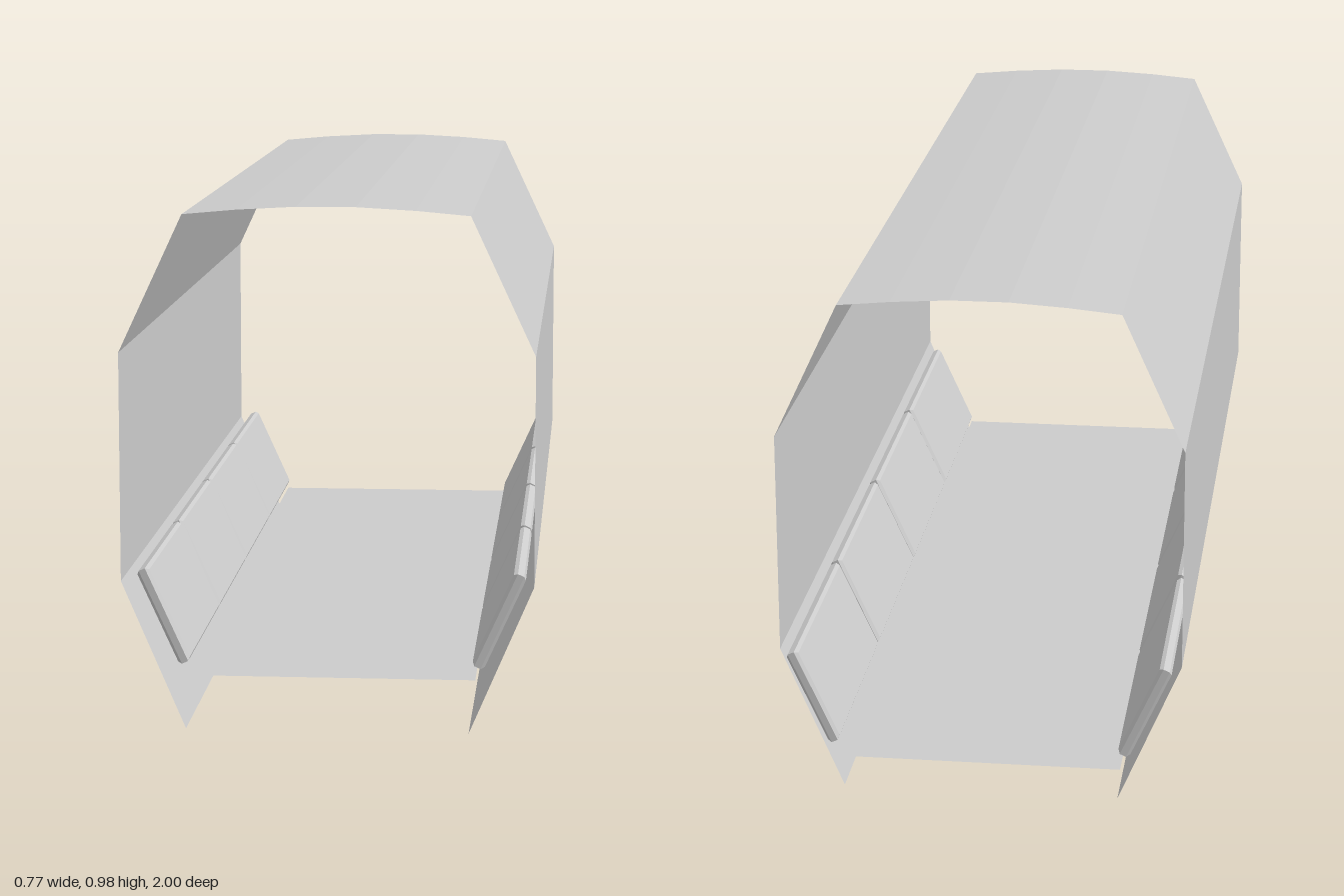
import * as THREE from 'three';

// Flat-faced sheet lofted between two matching rows of points
function sheet(rowA, rowB) {
  const pos = [];
  for (let i = 0; i < rowA.length - 1; i++) {
    const a = rowA[i], b = rowA[i + 1], c = rowB[i + 1], d = rowB[i];
    pos.push(...a, ...b, ...c, ...a, ...c, ...d);
  }
  const g = new THREE.BufferGeometry();
  g.setAttribute('position', new THREE.Float32BufferAttribute(pos, 3));
  g.computeVertexNormals();
  return g;
}

export function createModel() {
  const model = new THREE.Group();
  model.name = 'corridorSection';
  const grey = new THREE.MeshStandardMaterial({ color: 0xcccccc, side: THREE.DoubleSide });
  grey.name = 'light grey';

  const add = (name, geometry) => {
    const mesh = new THREE.Mesh(geometry, grey);
    mesh.name = name;
    model.add(mesh);
    return mesh;
  };

  // Shell: each profile point is x, y and the z of the back edge, which leans in at the top
  const half = [
    [0.265, 0, -0.94], [0.385, 0.28, -0.94], [0.385, 0.71, -0.94],
    [0.265, 0.967, -0.925], [0.165, 0.976, -0.923], [0.055, 0.982, -0.92],
  ];
  const profile = [...half, ...half.map(([x, y, z]) => [-x, y, z]).reverse()];
  const front = profile.map(([x, y]) => [x, y, 1]);
  const parts = [
    ['leftWall', 0, 4], ['roof', 3, 9], ['rightWall', 8, 12],
  ];
  for (const [name, from, to] of parts) {
    add(name, sheet(profile.slice(from, to), front.slice(from, to)));
  }

  // Floor sheet, pushed slightly out of the back opening
  add('floor', sheet(
    [[-0.275, 0.09, 0.95], [0.275, 0.09, 0.95]],
    [[-0.275, 0.09, -1], [0.275, 0.09, -1]]
  ));

  // Bevelled panels leaning along the lower walls, four on each side
  const bevel = 0.006, length = 0.46, height = 0.196, depth = 0.025;
  const w = length / 2 - bevel, h = height / 2 - bevel;
  const outline = new THREE.Shape([
    new THREE.Vector2(-w, -h), new THREE.Vector2(w, -h),
    new THREE.Vector2(w, h), new THREE.Vector2(-w, h),
  ]);
  const panel = new THREE.ExtrudeGeometry(outline, {
    depth: depth - 2 * bevel, bevelSize: bevel, bevelThickness: bevel, bevelSegments: 1,
  });
  panel.center();
  panel.rotateY(Math.PI / 2);
  for (const side of [1, -1]) {
    for (let i = 0; i < 4; i++) {
      const mesh = add(side > 0 ? 'leftPanel' : 'rightPanel', panel);
      mesh.position.set(side * 0.318, 0.195, 0.685 - i * 0.475);
      mesh.rotation.z = -side * 0.427;
    }
  }
  return model;
}
